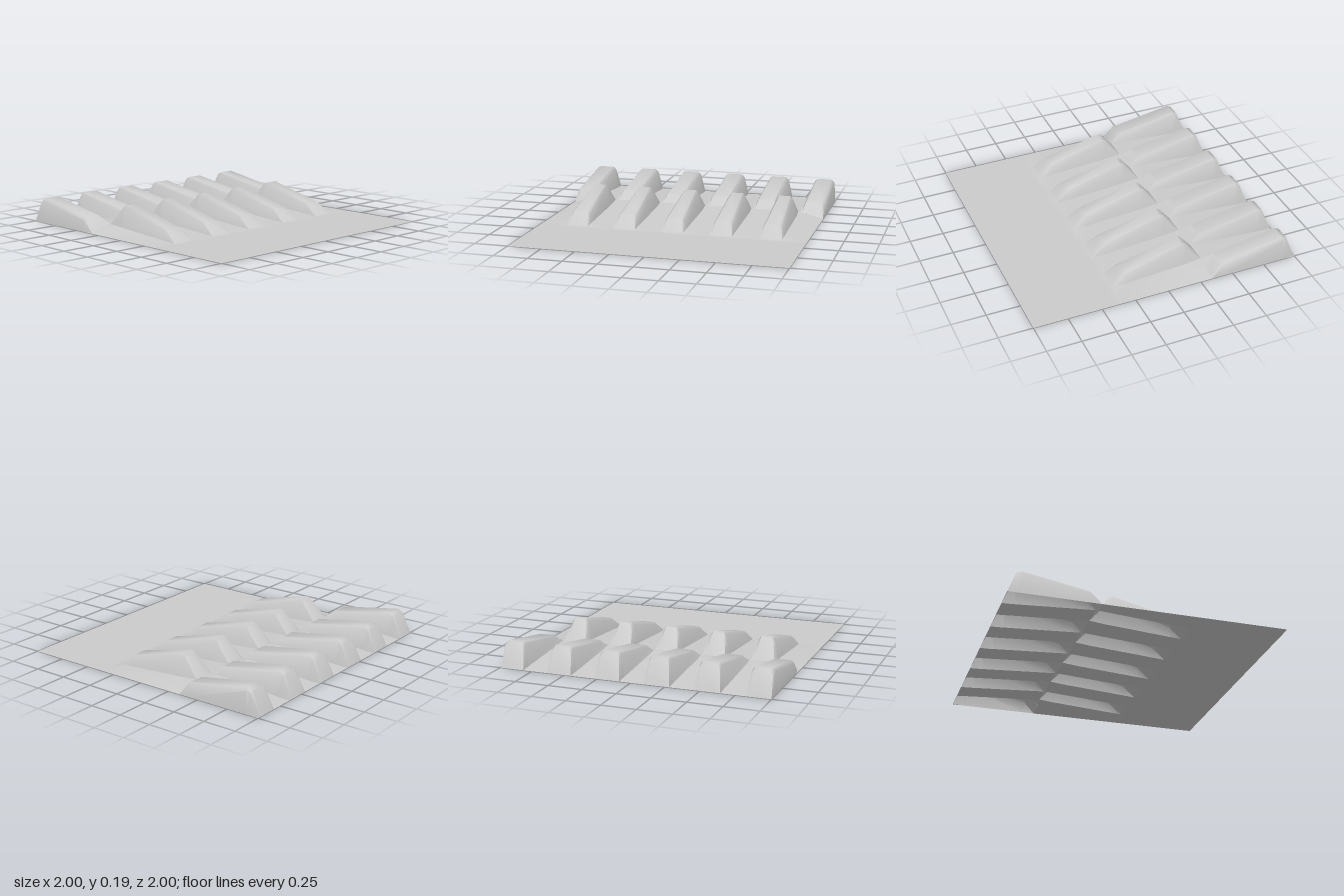
import * as THREE from 'three';
import { toCreasedNormals } from 'three/addons/utils/BufferGeometryUtils.js';

const SEAM = -0.34;   // where the two rows of teeth meet
const START = 0.34;   // where the front teeth begin

// Floor between the teeth: a low ridge along the seam, fading to 0 at both ends and sides
function floorY(x, z) {
  const along = z > SEAM ? (START - z) / (START - SEAM) : (z + 1) / (SEAM + 1);
  const across = (1 - Math.abs(x)) / 0.18;
  return 0.045 * THREE.MathUtils.clamp(along, 0, 1) * THREE.MathUtils.clamp(across, 0, 1);
}

// Join rows of points (front to back, each running left to right) into a sheet
function loft(rows) {
  const pos = rows.flat(2), n = rows[0].length, index = [];
  for (let i = 0; i < rows.length - 1; i++) {
    for (let j = 0; j < n - 1; j++) {
      const a = i * n + j, c = a + n;
      index.push(a, a + 1, c, a + 1, c + 1, c);
    }
  }
  const g = new THREE.BufferGeometry();
  g.setAttribute('position', new THREE.Float32BufferAttribute(pos, 3));
  g.setIndex(index);
  return toCreasedNormals(g, 0.85);
}

// One row of points across all teeth.
// s = { z, base, edge, edgeY, crest, crestY }, widths being half widths
function section(s, centres) {
  const row = [];
  const add = (x, y) => row.push([x, Math.max(y, floorY(x, s.z)), s.z]);
  for (const c of centres) {
    const half = [-s.base, -s.edge, -s.crest, s.crest, s.edge, s.base];
    const h = [0, s.edgeY, s.crestY, s.crestY, s.edgeY, 0];
    half.forEach((d, k) => {
      let x = c + d;
      // the outermost teeth have an upright wall on the border of the sheet
      if (Math.abs(c) > 0.9 && d * c > 0) x = Math.sign(c) * [1, 0.99, 0.97][k > 2 ? 5 - k : k];
      add(x, h[k]);
    });
  }
  return row;
}

const st = (z, base, edge, edgeY, crest, crestY) => ({ z, base, edge, edgeY, crest, crestY });

export function createModel() {
  const group = new THREE.Group();
  const material = new THREE.MeshStandardMaterial({ color: 0xcccccc, side: THREE.DoubleSide });
  const addMesh = (name, rows) => {
    const mesh = new THREE.Mesh(loft(rows), material);
    mesh.name = name;
    group.add(mesh);
  };

  // Flat apron and front row of five teeth
  const frontCentres = [-2, -1, 0, 1, 2].map(i => i * 0.365);
  const frontStations = [
    st(1, 0.088, 0.08, 0, 0.06, 0),
    st(0.38, 0.088, 0.08, 0, 0.06, 0),
    st(START, 0.088, 0.083, 0, 0.065, 0),
    st(0.24, 0.088, 0.067, 0.07, 0.052, 0.085),
    st(-0.2, 0.088, 0.057, 0.175, 0.042, 0.195),
    st(-0.23, 0.088, 0.057, 0.165, 0.042, 0.185),
    st(SEAM, 0.088, 0.08, 0, 0.062, 0),
  ];
  addMesh('apronAndFrontTeeth', frontStations.map(s => [
    [-1, 0, s.z], ...section(s, frontCentres), [1, 0, s.z],
  ]));

  // Back row of six teeth, offset by half a pitch
  const backCentres = [-0.915, -0.5475, -0.1825, 0.1825, 0.5475, 0.915];
  const backStations = [
    st(SEAM, 0.097, 0.09, 0, 0.075, 0),
    st(-0.42, 0.097, 0.077, 0.08, 0.062, 0.1),
    st(-0.9, 0.097, 0.073, 0.165, 0.058, 0.182),
    st(-0.935, 0.097, 0.073, 0.15, 0.058, 0.167),
    st(-1, 0.097, 0.092, 0, 0.075, 0),
  ];
  addMesh('backTeeth', backStations.map(s => section(s, backCentres)));

  return group;
}
